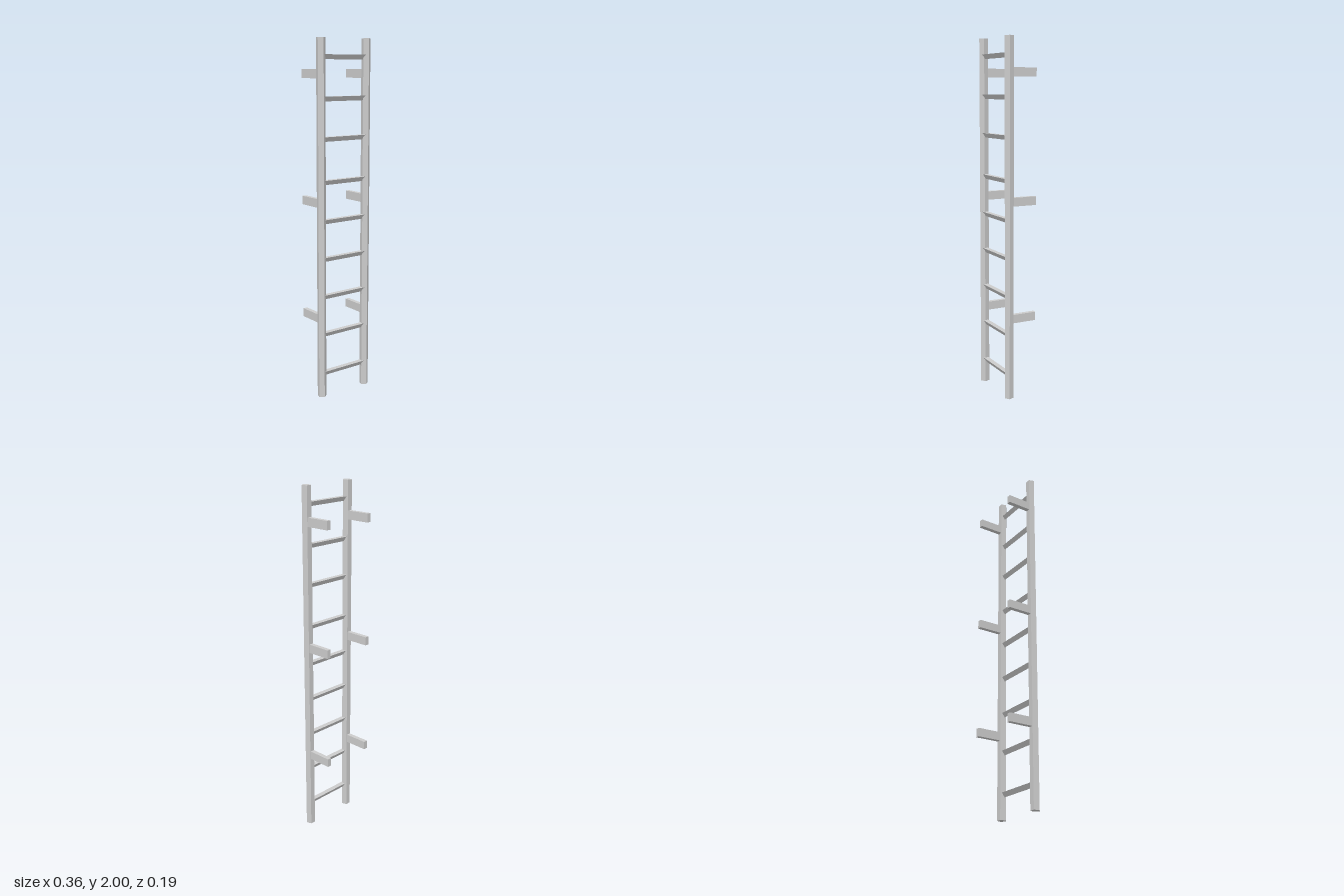
import * as THREE from 'three';

export function createModel() {
  const model = new THREE.Group();
  model.name = 'wallLadder';
  const material = new THREE.MeshStandardMaterial({ color: 0xcccccc, flatShading: true });

  const railX = 0.153, railZ = 0.067, backZ = -0.094;

  const add = (name, geometry, x, y, z) => {
    const mesh = new THREE.Mesh(geometry, material);
    mesh.name = name;
    mesh.position.set(x, y, z);
    model.add(mesh);
  };

  // Five-sided uprights, a corner facing forward
  const railGeometry = new THREE.CylinderGeometry(0.026, 0.026, 2, 5);
  // Wall brackets run from inside the uprights to the back
  const bracketDepth = railZ - backZ;
  const bracketGeometry = new THREE.BoxGeometry(0.025, 0.048, bracketDepth);

  for (const [side, sign] of [['left', 1], ['right', -1]]) {
    add(side + 'Rail', railGeometry, sign * railX, 1, railZ);
    for (const y of [0.46, 1.117, 1.812]) {
      add(side + 'WallBracket', bracketGeometry, sign * railX, y, (railZ + backZ) / 2);
    }
  }

  // Triangular rungs, flat side up
  const rungRadius = 0.017;
  const rungGeometry = new THREE.CylinderGeometry(rungRadius, rungRadius, 2 * railX, 3);
  rungGeometry.rotateY(Math.PI / 2).rotateZ(-Math.PI / 2);
  rungGeometry.computeBoundingBox();
  // Keep the point of the triangle at the bottom
  if (rungGeometry.boundingBox.max.y > rungRadius * 0.75) rungGeometry.rotateX(Math.PI);
  for (const y of [0.134, 0.365, 0.584, 0.8, 1.013, 1.23, 1.465, 1.68, 1.9]) {
    add('rung', rungGeometry, 0, y + rungRadius / 4, 0.069);
  }

  return model;
}
